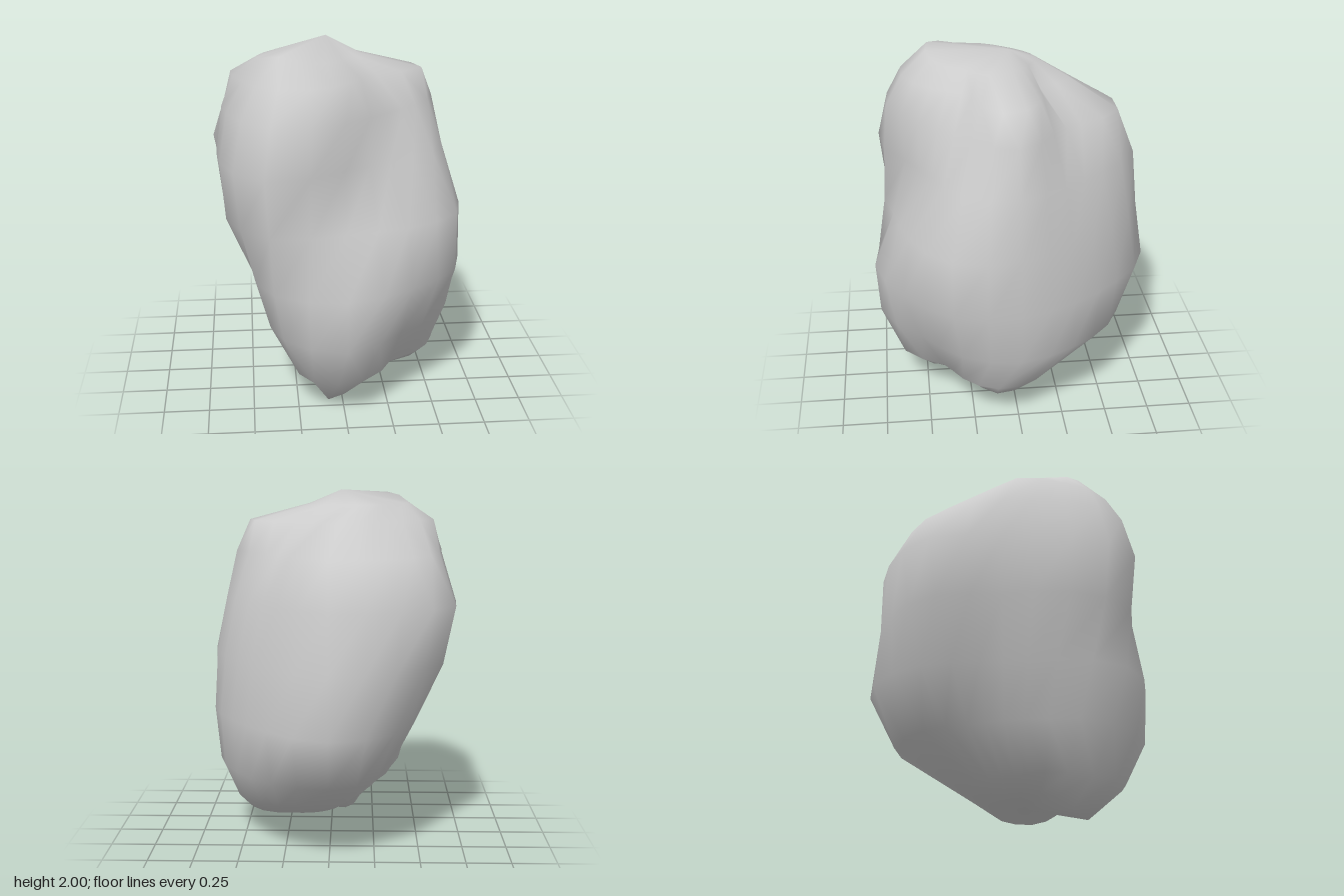
import * as THREE from 'three';

const SEGMENTS = 24;

// Cross-sections from bottom to top: y, centre x, centre z,
// then twelve radii, starting at +x and turning towards +z.
const SECTIONS = [
  [0.14, 0.10, 0.12, [0.38, 0.26, 0.22, 0.33, 0.36, 0.28, 0.18, 0.17, 0.18, 0.20, 0.24, 0.34]],
  [0.22, 0.10, 0.12, [0.45, 0.38, 0.34, 0.51, 0.54, 0.42, 0.30, 0.28, 0.32, 0.36, 0.38, 0.44]],
  [0.45, 0.00, 0.00, [0.64, 0.64, 0.62, 0.76, 0.66, 0.47, 0.39, 0.39, 0.51, 0.63, 0.62, 0.60]],
  [0.75, 0.00, 0.00, [0.67, 0.73, 0.72, 0.78, 0.76, 0.57, 0.47, 0.55, 0.70, 0.78, 0.66, 0.62]],
  [1.08, 0.00, 0.00, [0.65, 0.73, 0.67, 0.66, 0.80, 0.72, 0.61, 0.71, 0.72, 0.73, 0.62, 0.58]],
  [1.40, 0.00, 0.00, [0.59, 0.58, 0.51, 0.58, 0.84, 0.75, 0.66, 0.78, 0.75, 0.70, 0.55, 0.51]],
  [1.66, 0.00, 0.00, [0.53, 0.47, 0.47, 0.60, 0.77, 0.70, 0.62, 0.63, 0.62, 0.60, 0.42, 0.40]],
  [1.83, -0.05, 0.08, [0.51, 0.28, 0.30, 0.44, 0.58, 0.54, 0.53, 0.40, 0.38, 0.42, 0.27, 0.42]],
  [1.92, -0.15, 0.12, [0.27, 0.22, 0.24, 0.30, 0.36, 0.32, 0.28, 0.24, 0.25, 0.28, 0.26, 0.26]],
];
const BOTTOM = [0.15, 0.13, 0.10];
const TOP = [-0.06, 2.0, 0.0];

// Smooth closed interpolation between the radii
function radiusAt(radii, t) {
  const n = radii.length;
  const i = Math.floor(t);
  const f = t - i;
  const [a, b, c, d] = [-1, 0, 1, 2].map((k) => radii[(i + k + n) % n]);
  return b + 0.5 * f * (c - a + f * (2 * a - 5 * b + 4 * c - d + f * (3 * (b - c) + d - a)));
}

// Pointed foot below and small crown peak above, both front left of centre
function lift(x, y, z) {
  const bump = (cx, cz) => Math.exp(-((x - cx) ** 2 + (z - cz) ** 2) / 0.02);
  if (y < 0.3) return -0.14 * bump(-0.08, 0.43);
  if (y > 1.9) return 0.05 * bump(-0.33, 0.42);
  return 0;
}

function rockGeometry() {
  const positions = [];
  const index = [];

  for (const [y, cx, cz, radii] of SECTIONS) {
    for (let j = 0; j < SEGMENTS; j++) {
      const angle = (j / SEGMENTS) * Math.PI * 2;
      const r = radiusAt(radii, (j / SEGMENTS) * radii.length);
      const x = cx + r * Math.cos(angle);
      const z = cz + r * Math.sin(angle);
      positions.push(x, y + lift(x, y, z), z);
    }
  }
  const bottom = SECTIONS.length * SEGMENTS;
  const top = bottom + 1;
  positions.push(...BOTTOM, ...TOP);

  // Side skin between neighbouring sections, closed by a fan at each end
  const last = (SECTIONS.length - 1) * SEGMENTS;
  for (let j = 0; j < SEGMENTS; j++) {
    const k = (j + 1) % SEGMENTS;
    for (let row = 0; row < last; row += SEGMENTS) {
      const a = row + j, b = row + k;
      const c = a + SEGMENTS, d = b + SEGMENTS;
      index.push(a, c, b, b, c, d);
    }
    index.push(bottom, j, k);
    index.push(last + j, top, last + k);
  }

  const geometry = new THREE.BufferGeometry();
  geometry.setAttribute('position', new THREE.Float32BufferAttribute(positions, 3));
  geometry.setIndex(index);
  geometry.computeVertexNormals();
  return geometry;
}

export function createModel() {
  const group = new THREE.Group();
  group.name = 'boulder';
  const rock = new THREE.Mesh(
    rockGeometry(),
    new THREE.MeshStandardMaterial({ color: 0xcccccc })
  );
  rock.name = 'rock';
  group.add(rock);
  return group;
}
